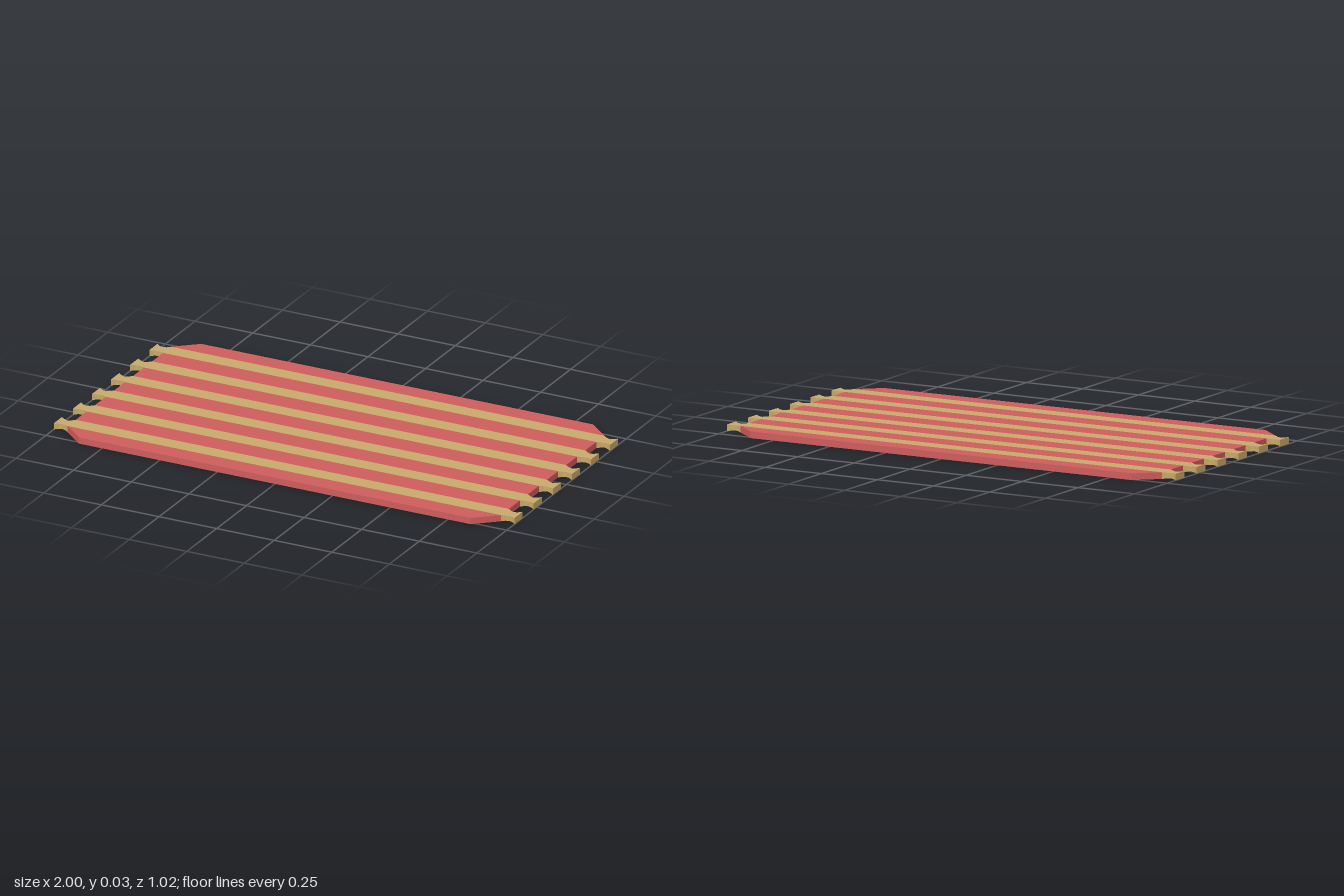
import * as THREE from 'three';

const HEIGHT = 0.026;
const BAR_HALF = 0.034;   // half width of a batten
const BODY_X = 0.94;      // half length of the planks
const PITCH = 0.16;       // batten spacing
const HALF_Z = 0.512;

const red = new THREE.MeshStandardMaterial({ color: 0xcd5c5c, flatShading: true });
const tan = new THREE.MeshStandardMaterial({ color: 0xc8a96a, flatShading: true });

// Batten: long bar whose two ends narrow to a waist and flare out again
function battenGeometry() {
  const ends = [[0.94, 1], [0.955, 0.74], [0.97, 0.62], [0.985, 0.74], [1, 1]];
  const stations = [...ends].reverse().map(([x, s]) => [-x, s]).concat(ends);
  const n = stations.length - 1;
  const geo = new THREE.BoxGeometry(n, HEIGHT, BAR_HALF * 2, n, 1, 1);
  const p = geo.attributes.position;
  for (let i = 0; i < p.count; i++) {
    const [x, s] = stations[Math.round(p.getX(i) + n / 2)];
    p.setXYZ(i, x, p.getY(i) * (0.4 + 0.6 * s), p.getZ(i) * s);
  }
  geo.computeVertexNormals();
  return geo;
}

// Outer plank: inner edge at z = 0, outer corners cut off
function edgePlankGeometry(depth) {
  const shape = new THREE.Shape([
    new THREE.Vector2(-BODY_X, 0), new THREE.Vector2(-0.85, -depth),
    new THREE.Vector2(0.85, -depth), new THREE.Vector2(BODY_X, 0),
  ]);
  const geo = new THREE.ExtrudeGeometry(shape, { depth: HEIGHT, bevelEnabled: false });
  return geo.rotateX(-Math.PI / 2).translate(0, -HEIGHT / 2, 0);
}

export function createModel() {
  const model = new THREE.Group();
  model.name = 'slattedPanel';
  const add = (name, geo, mat, z) => {
    const mesh = new THREE.Mesh(geo, mat);
    mesh.name = name;
    mesh.position.set(0, HEIGHT / 2, z);
    model.add(mesh);
    return mesh;
  };

  // Six battens with shaped ends
  const batten = battenGeometry();
  for (let i = 0; i < 6; i++) add('batten', batten, tan, (i - 2.5) * PITCH);

  // Five planks between the battens
  const plank = new THREE.BoxGeometry(BODY_X * 2, HEIGHT, PITCH - BAR_HALF * 2);
  for (let i = 0; i < 5; i++) add('plank', plank, red, (i - 2) * PITCH);

  // Front and back planks with cut corners
  const inner = 2.5 * PITCH + BAR_HALF;
  const edge = edgePlankGeometry(HALF_Z - inner);
  add('frontPlank', edge, red, inner);
  add('backPlank', edge, red, -inner).rotation.y = Math.PI;

  return model;
}
